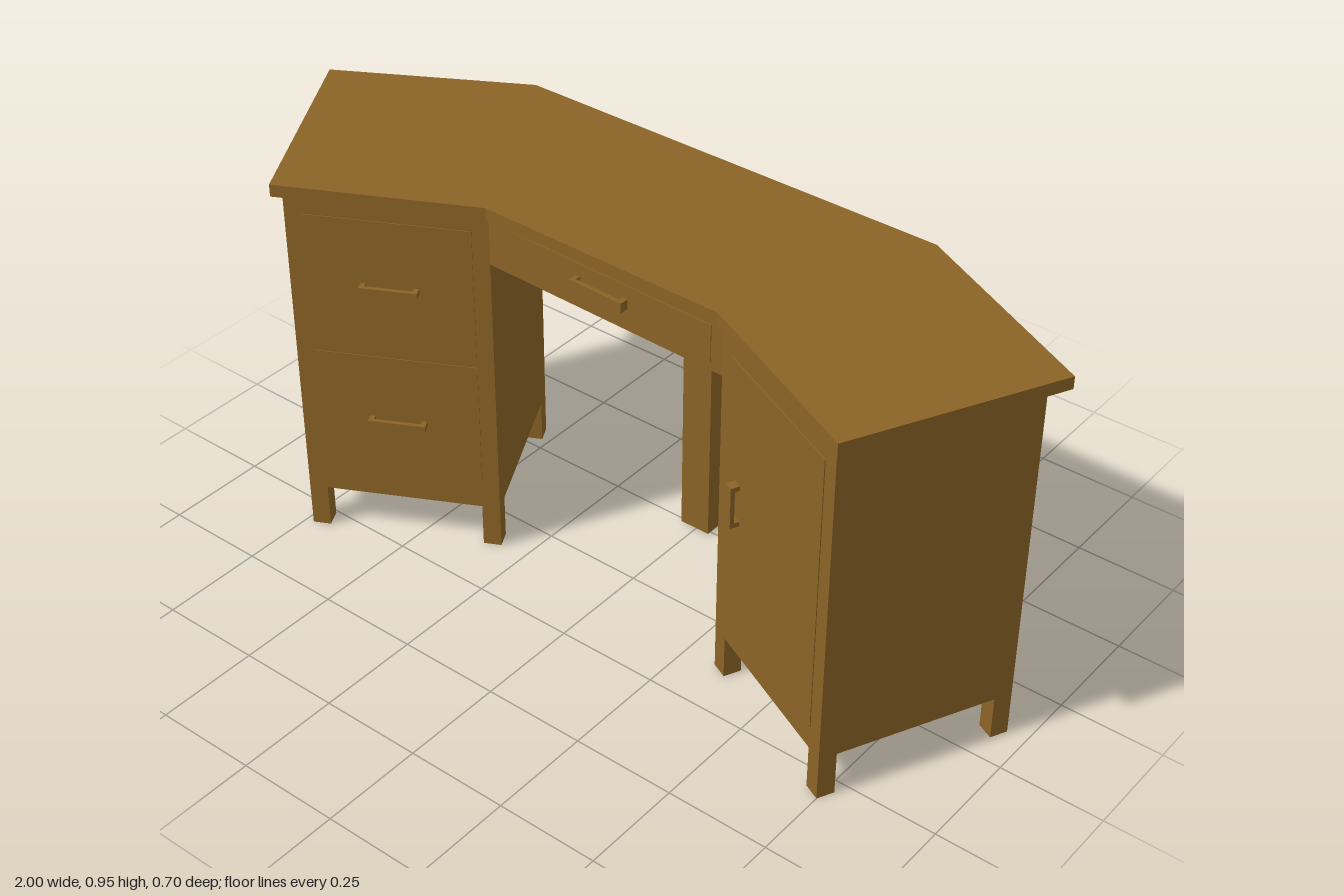
import * as THREE from 'three';

const wood = new THREE.MeshStandardMaterial({ color: 0x8b6426 });
wood.name = 'wood';

function mesh(name, geometry, parent) {
  const m = new THREE.Mesh(geometry, wood);
  m.name = name;
  parent.add(m);
  return m;
}

function box(name, parent, w, h, d, x, y, z) {
  const m = mesh(name, new THREE.BoxGeometry(w, h, d), parent);
  m.position.set(x, y, z);
  return m;
}

// Upright prism over an outline of [x, z] corners
function prism(name, parent, outline, y0, y1) {
  const shape = new THREE.Shape(outline.map(([x, z]) => new THREE.Vector2(x, -z)));
  const geometry = new THREE.ExtrudeGeometry(shape, { depth: y1 - y0, bevelEnabled: false });
  geometry.rotateX(-Math.PI / 2);
  geometry.translate(0, y0, 0);
  return mesh(name, geometry, parent);
}

// Bar handle standing on two short posts; z is the face it sits on
function handle(name, parent, length, thick, x, y, z, upright = false) {
  const g = new THREE.Group();
  g.name = name;
  g.position.set(x, y, z);
  if (upright) g.rotation.z = Math.PI / 2;
  box('handleBar', g, length, thick, 0.01, 0, 0, 0.017);
  for (const s of [-1, 1]) box('handlePost', g, 0.012, thick, 0.014, s * (length / 2 - 0.006), 0, 0.006);
  parent.add(g);
}

// Cabinet with its origin at the middle of the front face, on the floor
function cabinet(name, parent, from, to, depth) {
  const [dx, dz] = [to[0] - from[0], to[1] - from[1]];
  const width = Math.hypot(dx, dz);
  const g = new THREE.Group();
  g.name = name;
  g.position.set((from[0] + to[0]) / 2, 0, (from[1] + to[1]) / 2);
  g.rotation.y = Math.atan2(-dz, dx);
  box('cabinetBody', g, width, 0.81, depth, 0, 0.515, -depth / 2);
  const leg = 0.043;
  for (const x of [-1, 1])
    for (const z of [-leg / 2, leg / 2 - depth])
      box('leg', g, leg, 0.11, leg, x * (width - leg) / 2, 0.055, z);
  parent.add(g);
  return g;
}

export function createModel() {
  const desk = new THREE.Group();
  desk.name = 'desk';

  // Angled desktop
  prism('desktop', desk, [
    [-1, -0.11], [-0.73, 0.35], [-0.3, 0.13], [0.33, 0.14],
    [0.77, 0.35], [1, -0.115], [0.53, -0.35], [-0.575, -0.355],
  ], 0.92, 0.95);

  // Drawer cabinet
  const drawers = cabinet('drawerCabinet', desk, [-0.73, 0.315], [-0.32, 0.1], 0.474);
  for (const [y0, y1, yHandle] of [[0.17, 0.505, 0.332], [0.525, 0.865, 0.695]]) {
    box('drawerFront', drawers, 0.384, y1 - y0, 0.003, 0, (y0 + y1) / 2, 0.0005);
    handle('drawerHandle', drawers, 0.135, 0.014, 0, yHandle, 0.002);
  }

  // Door cabinet
  const door = cabinet('doorCabinet', desk, [0.33, 0.12], [0.75, 0.32], 0.47);
  box('doorFront', door, 0.385, 0.69, 0.003, 0, 0.515, 0.0005);
  handle('doorHandle', door, 0.105, 0.022, -0.148, 0.515, 0.002, true);

  // Middle section with its shallow drawer
  prism('middleSection', desk, [
    [-0.32, 0.1], [0.33, 0.12], [0.53, -0.305], [-0.54, -0.315],
  ], 0.785, 0.92);
  const middle = new THREE.Group();
  middle.name = 'middleDrawer';
  middle.position.set(0.005, 0, 0.11);
  middle.rotation.y = -0.031;
  box('drawerFront', middle, 0.59, 0.09, 0.003, 0, 0.852, 0.0005);
  handle('drawerHandle', middle, 0.145, 0.024, 0, 0.853, 0.002);
  desk.add(middle);

  // Rear support post
  box('supportPost', desk, 0.08, 0.79, 0.07, -0.005, 0.395, -0.275);

  return desk;
}
